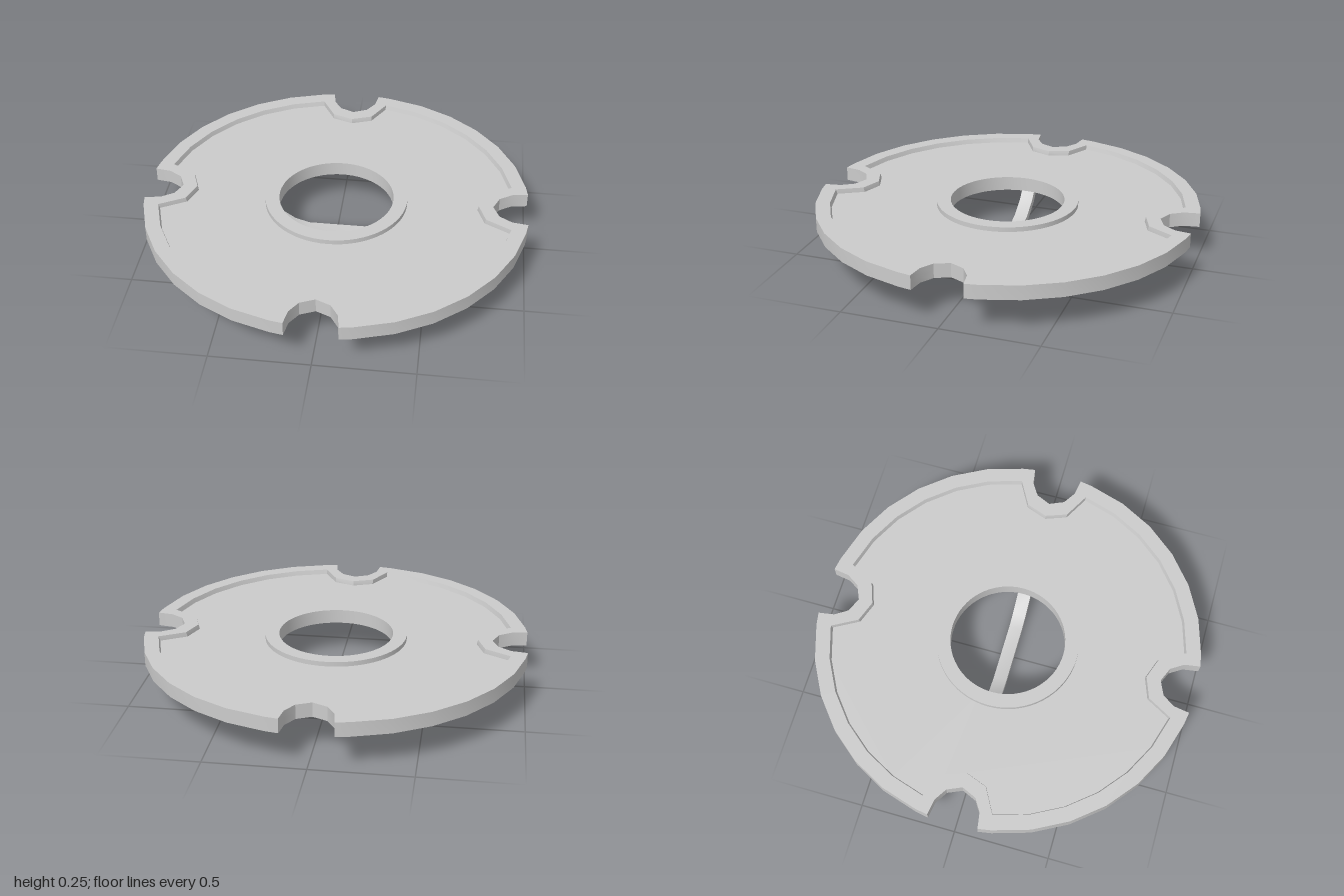
import * as THREE from 'three';
import { toCreasedNormals } from 'three/addons/utils/BufferGeometryUtils.js';

const material = new THREE.MeshStandardMaterial({ color: 0xcccccc });
const BOTTOM = 0.18, TOP = 0.255, CREASE = 0.5;

// Four-fold outline: half a notch, an arc of 11.25 degree steps, half a notch, repeated
function notchedOutline(halfNotch, radius) {
  const quarter = halfNotch.map(([x, y]) => new THREE.Vector2(x, y));
  for (let i = 1; i <= 7; i++) {
    const a = (i * Math.PI) / 16;
    quarter.push(new THREE.Vector2(radius * Math.sin(a), radius * Math.cos(a)));
  }
  for (let i = halfNotch.length - 1; i > 0; i--) {
    quarter.push(new THREE.Vector2(halfNotch[i][1], halfNotch[i][0]));
  }
  const points = [];
  for (let k = 0; k < 4; k++) {
    for (const p of quarter) {
      points.push(p.clone().rotateAround(new THREE.Vector2(), (-k * Math.PI) / 2));
    }
  }
  return points.reverse(); // counter-clockwise
}

function circle(radius) {
  return new THREE.Path().absarc(0, 0, radius, 0, Math.PI * 2);
}

function addMesh(group, name, geometry) {
  const mesh = new THREE.Mesh(toCreasedNormals(geometry, CREASE), material);
  mesh.name = name;
  group.add(mesh);
}

// Horizontal slab between two heights, with one hole
function slab(outline, hole, y0, y1) {
  const shape = new THREE.Shape(outline);
  shape.holes.push(hole);
  const geometry = new THREE.ExtrudeGeometry(shape, {
    depth: y1 - y0, steps: 2, bevelEnabled: false, curveSegments: 32,
  });
  geometry.rotateX(-Math.PI / 2);
  geometry.translate(0, y0, 0);
  return geometry;
}

// Lean the hole's wall inwards at mid height
function slopeInnerWall(geometry, inner) {
  const pos = geometry.attributes.position;
  for (let i = 0; i < pos.count; i++) {
    const p = new THREE.Vector2(pos.getX(i), -pos.getZ(i));
    const atMiddle = Math.abs(pos.getY(i) - (BOTTOM + TOP) / 2) < 0.001;
    if (atMiddle && inner.some((q) => q.distanceTo(p) < 0.001)) {
      pos.setXYZ(i, p.x * 0.988, pos.getY(i), -p.y * 0.988);
    }
  }
  return geometry;
}

export function createModel() {
  const group = new THREE.Group();
  group.name = 'notchedDisc';

  const outer = notchedOutline([[0, 0.82], [0.075, 0.853], [0.117, 0.918], [0.13, 1]], 1.008);
  const inner = notchedOutline([[0, 0.745], [0.11, 0.785]], 0.932);

  // Raised rim, following the four notches
  addMesh(group, 'rim', slopeInnerWall(slab(outer, new THREE.Path(inner), BOTTOM, TOP), inner));

  // Thinner plate, recessed on both faces
  addMesh(group, 'plate', slab(inner, circle(0.34), BOTTOM + 0.018, TOP - 0.025));

  // Raised collar round the centre hole
  addMesh(group, 'collar', slab(circle(0.373).getPoints(32), circle(0.3), BOTTOM, TOP));

  // Bent strap handle underneath, its ends set against the plate
  const half = [
    [0.16, 0], [0.24, 0.027], [0.35, 0.1], [0.41, 0.17], [0.5, 0.18],
    [0.5, 0.21], [0.39, 0.205], [0.32, 0.123], [0.225, 0.06], [0.15, 0.038],
  ];
  const profile = [...half, ...half.map(([x, y]) => [-x, y]).reverse()];
  const strap = new THREE.ExtrudeGeometry(
    new THREE.Shape(profile.map(([x, y]) => new THREE.Vector2(x, y))),
    { depth: 0.07, bevelEnabled: false },
  );
  strap.translate(0, 0, -0.035);
  addMesh(group, 'handle', strap);

  return group;
}
